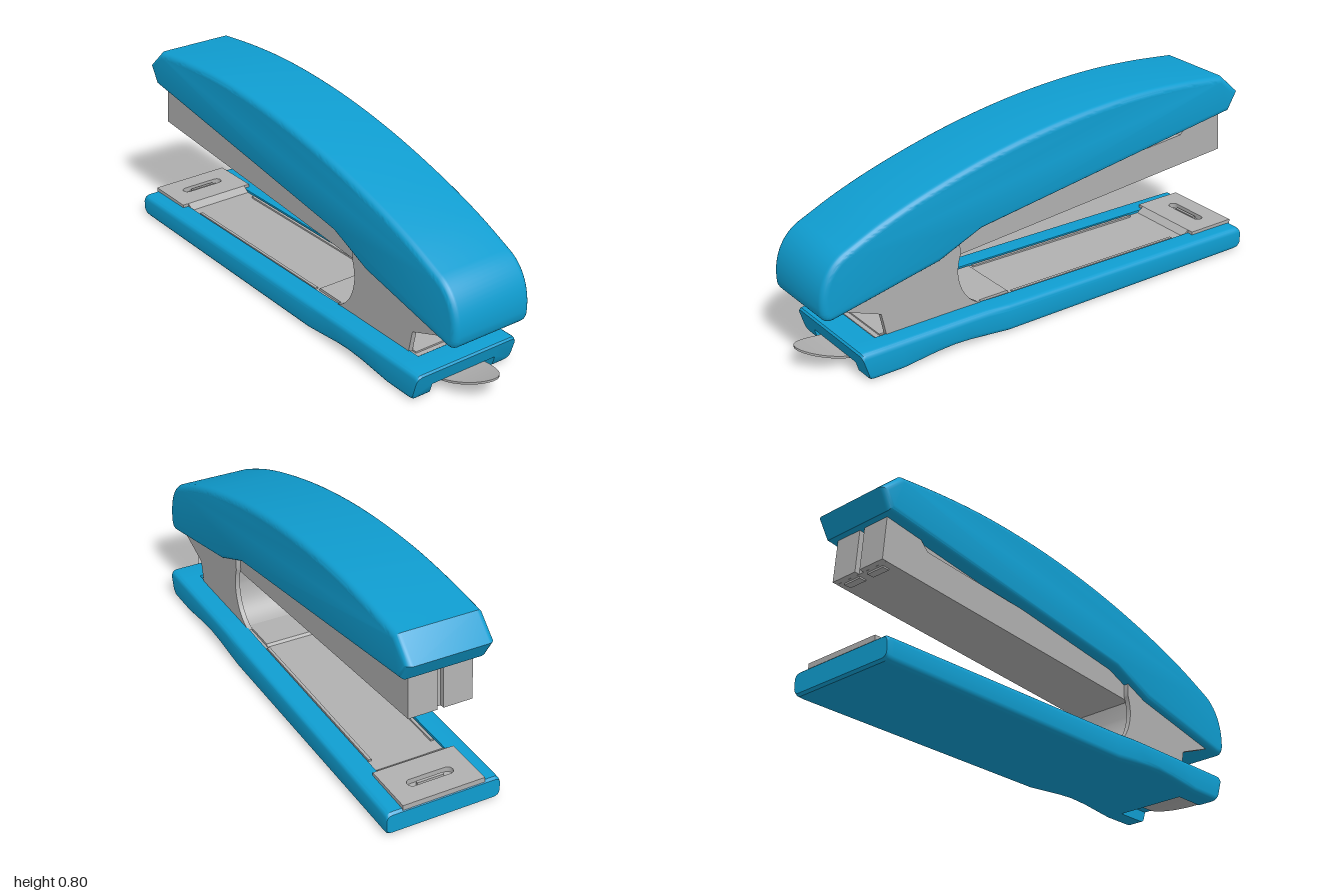
import * as THREE from 'three';
import { toCreasedNormals } from 'three/addons/utils/BufferGeometryUtils.js';

const blue = new THREE.MeshStandardMaterial({ color: 0x0f9dd0 });
blue.name = 'blue plastic';
const steel = new THREE.MeshStandardMaterial({ color: 0xb0b0b0 });
steel.name = 'grey steel';

function mesh(name, geometry, material) {
  const m = new THREE.Mesh(geometry, material);
  m.name = name;
  return m;
}

const polygon = (pts) => new THREE.Shape(pts.map(([x, y]) => new THREE.Vector2(x, y)));

// Side profile (x, y) extruded between two z values, with an optional rounded rim
function slab(name, shape, z0, z1, material, bevel = 0) {
  const g = new THREE.ExtrudeGeometry(shape, {
    depth: z1 - z0 - 2 * bevel, bevelEnabled: bevel > 0, bevelThickness: bevel,
    bevelSize: bevel, bevelOffset: -bevel, bevelSegments: 5, curveSegments: 14,
  });
  g.translate(0, 0, z0 + bevel);
  return mesh(name, toCreasedNormals(g, 0.5), material);
}

// Skin over closed cross-sections of [x, y, z], each counter-clockwise in (z, y), ordered along +x
function loft(name, loops, material) {
  const n = loops[0].length, index = [];
  const points = loops.flat().map((p) => new THREE.Vector3(...p));
  // Steps between sections leave empty triangles, which are skipped
  const face = (a, b, c) => {
    if (new THREE.Triangle(points[a], points[b], points[c]).getArea() > 1e-9) index.push(a, b, c);
  };
  for (let i = 0; i < loops.length - 1; i++) {
    for (let j = 0; j < n; j++) {
      const a = i * n + j, b = i * n + (j + 1) % n;
      face(a, a + n, b);
      face(b, a + n, b + n);
    }
  }
  const last = (loops.length - 1) * n;
  const cap = (loop) => THREE.ShapeUtils.triangulateShape(loop.map((p) => new THREE.Vector2(p[2], p[1])), []);
  cap(loops[0]).forEach(([a, b, c]) => face(a, b, c));
  cap(loops[loops.length - 1]).forEach(([a, b, c]) => face(last + a, last + c, last + b));
  const g = new THREE.BufferGeometry().setFromPoints(points);
  g.setIndex(index);
  return mesh(name, toCreasedNormals(g, 0.5), material);
}

// Rounded base section with a channel in the top and a notch in the bottom
function baseSection([xb, xt, yb, yt, notch, recess]) {
  const W = 0.235, R = 0.022, half = [];
  half.push([0.15, yb + notch], [0.15, yb]);
  for (let k = 0; k <= 4; k++) {
    const a = -Math.PI / 2 + k * Math.PI / 8;
    half.push([W - R + R * Math.cos(a), yb + R + R * Math.sin(a)]);
  }
  for (let k = 0; k <= 4; k++) {
    const a = k * Math.PI / 8;
    half.push([W - R + R * Math.cos(a), yt - R + R * Math.sin(a)]);
  }
  half.push([0.145, yt], [0.145, yt - recess]);
  const loop = [...half, ...half.map(([z, y]) => [-z, y]).reverse()];
  return loop.map(([z, y]) => [xb + (xt - xb) * (y - yb) / (yt - yb), y, z]);
}

function makeBase() {
  // bottom x, top x, bottom y, top y, notch height, channel depth
  return loft('base', [
    [-1, -1, 0.011, 0.088, 0, 0],
    [-0.99, -0.99, 0.002, 0.096, 0, 0],
    [-0.97, -0.97, 0, 0.097, 0, 0],
    [-0.97, -0.97, 0, 0.097, 0, 0.02],
    [0.2, 0.2, 0, 0.112, 0, 0.02],
    [0.3, 0.3, 0.01, 0.117, 0, 0.02],
    [0.38, 0.38, 0.018, 0.118, 0, 0.02],
    [0.45, 0.45, 0.021, 0.118, 0, 0.02],
    [0.53, 0.53, 0.017, 0.118, 0, 0.02],
    [0.61, 0.61, 0.008, 0.118, 0, 0.02],
    [0.68, 0.68, 0, 0.118, 0, 0.02],
    [0.68, 0.68, 0, 0.118, 0.048, 0.02],
    [0.75, 0.75, 0, 0.118, 0.048, 0.02],
    [0.75, 0.75, 0, 0.118, 0.048, 0],
    [0.805, 0.84, 0, 0.118, 0.048, 0],
    [0.818, 0.85, 0.003, 0.116, 0.045, 0],
    [0.825, 0.856, 0.01, 0.108, 0.038, 0],
  ].map(baseSection), blue);
}

function makeCover() {
  const s = new THREE.Shape();
  s.moveTo(-1, 0.69);
  s.lineTo(-0.91, 0.772);
  s.splineThru([[-0.7, 0.792], [-0.48, 0.8], [-0.24, 0.79], [0, 0.763], [0.25, 0.716], [0.5, 0.65],
    [0.7, 0.582], [0.87, 0.508]].map(([x, y]) => new THREE.Vector2(x, y)));
  s.bezierCurveTo(0.95, 0.47, 0.985, 0.38, 0.975, 0.29);
  s.quadraticCurveTo(0.965, 0.248, 0.925, 0.256);
  s.lineTo(0.47, 0.352);
  s.lineTo(0.28, 0.433);
  s.lineTo(-0.955, 0.613);
  return slab('topCover', s, -0.175, 0.175, blue, 0.026);
}

function makeMagazine() {
  const g = new THREE.Group();
  g.name = 'magazine';
  // Outer channel with its stepped top edge
  g.add(slab('magazineChannel', polygon([[-0.925, 0.434], [0.4, 0.33], [0.42, 0.42], [0.2, 0.47], [-0.2, 0.505],
    [-0.73, 0.55], [-0.78, 0.6], [-0.79, 0.63], [-0.91, 0.65]]), -0.13, 0.13, steel));
  g.add(slab('stapleCarrier', polygon([[-0.85, 0.5], [0.3, 0.4], [0.3, 0.46], [-0.85, 0.64]]), -0.115, 0.115, steel));
  // Front wall split by the driver slit
  for (const [z0, z1] of [[-0.13, -0.012], [0.012, 0.13]]) {
    g.add(slab('frontWall', polygon([[-0.945, 0.436], [-0.92, 0.434], [-0.905, 0.64], [-0.93, 0.64]]), z0, z1, steel));
  }
  // Small lips around the staple exit
  for (const z of [-0.06, 0.06]) {
    const lip = mesh('exitLip', new THREE.BoxGeometry(0.03, 0.008, 0.08), steel);
    lip.position.set(-0.9, 0.43, z);
    g.add(lip);
  }
  return g;
}

function makeBracket() {
  const g = new THREE.Group();
  g.name = 'hingeBracket';
  const side = new THREE.Shape();
  side.moveTo(0.27, 0.112);
  side.lineTo(0.7, 0.112);
  side.lineTo(0.72, 0.207);
  side.lineTo(0.89, 0.272);
  side.lineTo(0.88, 0.33);
  side.lineTo(0.45, 0.41);
  side.lineTo(0.37, 0.41);
  side.lineTo(0.367, 0.345);
  side.quadraticCurveTo(0.38, 0.31, 0.38, 0.27);
  side.bezierCurveTo(0.375, 0.19, 0.33, 0.13, 0.27, 0.112);
  g.add(slab('bracketSide', side, 0.13, 0.15, steel), slab('bracketSide', side, -0.15, -0.13, steel));
  // Curved wall between the sides
  const web = new THREE.Shape();
  web.moveTo(0.39, 0.36);
  web.lineTo(0.4, 0.27);
  web.bezierCurveTo(0.395, 0.19, 0.35, 0.13, 0.29, 0.112);
  web.lineTo(0.32, 0.112);
  web.bezierCurveTo(0.37, 0.13, 0.408, 0.19, 0.412, 0.27);
  web.lineTo(0.41, 0.36);
  g.add(slab('curvedWall', web, -0.13, 0.13, steel));
  g.add(slab('bracketFloor', polygon([[0.13, 0.1], [0.72, 0.1], [0.72, 0.116], [0.14, 0.114]]), -0.13, 0.13, steel));
  return g;
}

function makeTray() {
  const g = new THREE.Group();
  g.name = 'tray';
  g.add(slab('trayPlate', polygon([[-0.96, 0.078], [0.74, 0.1], [0.74, 0.11], [0.2, 0.104], [-0.96, 0.088]]),
    -0.144, 0.144, steel));
  for (const z of [-0.138, 0.126]) {
    g.add(slab('trayRib', polygon([[-0.7, 0.085], [0.12, 0.095], [0.12, 0.109], [-0.7, 0.099]]), z, z + 0.012, steel));
  }
  // Anvil plate with its clinching slot
  const plan = polygon([[-0.997, -0.17], [-0.785, -0.17], [-0.785, 0.17], [-0.997, 0.17]]);
  const slot = new THREE.Path();
  slot.absarc(-0.9, 0.075, 0.02, 0, Math.PI);
  slot.absarc(-0.9, -0.075, 0.02, Math.PI, Math.PI * 2);
  plan.holes.push(slot);
  const anvil = new THREE.ExtrudeGeometry(plan, { depth: 0.021, bevelEnabled: false });
  anvil.rotateX(-Math.PI / 2).translate(0, 0.091, 0);
  g.add(mesh('anvil', anvil, steel));
  const ridge = mesh('anvilRidge', new THREE.BoxGeometry(0.012, 0.02, 0.11), steel);
  ridge.position.set(-0.9, 0.097, 0);
  g.add(ridge);
  g.add(slab('anvilRamp', polygon([[-0.785, 0.085], [-0.755, 0.09], [-0.785, 0.112]]), -0.144, 0.144, steel));
  return g;
}

// Upturned tongue with a rounded tip
function makeTongue() {
  const loops = [];
  for (let i = 0; i <= 14; i++) {
    const x = 0.68 + 0.32 * Math.sin(i / 14 * Math.PI / 2);
    const u = THREE.MathUtils.clamp((x - 0.82) / 0.18, 0, 1);
    const w = Math.max(0.004, 0.1 * Math.sqrt(1 - Math.pow(u, 1.6)));
    const y = 0.037 + 0.032 * u + 0.019 * u * u;
    loops.push([[x, y, -w], [x, y, w], [x, y + 0.009, w], [x, y + 0.009, -w]]);
  }
  return loft('releaseTongue', loops, steel);
}

export function createModel() {
  const model = new THREE.Group();
  model.name = 'stapler';
  model.add(makeBase(), makeCover(), makeMagazine(), makeBracket(), makeTray(), makeTongue());
  return model;
}
